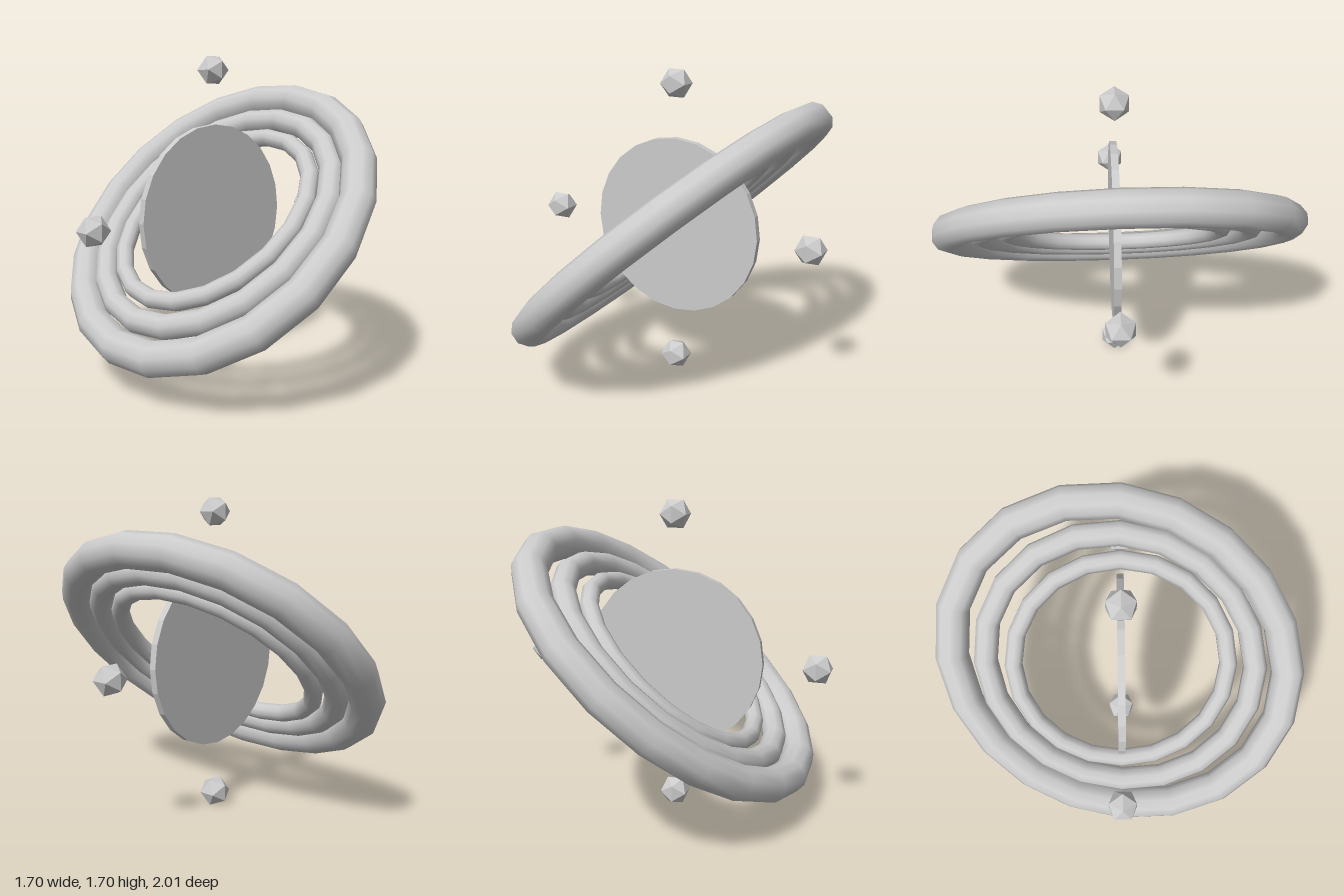
import * as THREE from 'three';

const CENTER_Y = 0.854;
const TILT = 0.75;

// Slightly oval closed loop in the XZ plane, its long axis turned towards -z
class OvalLoop extends THREE.Curve {
  constructor(long, short, turn) {
    super();
    Object.assign(this, { long, short, turn });
  }
  getPoint(t, target = new THREE.Vector3()) {
    const a = t * Math.PI * 2 + Math.PI / 2 - this.turn;
    const p = this.long * Math.cos(a), q = this.short * Math.sin(a);
    const c = Math.cos(this.turn), s = Math.sin(this.turn);
    return target.set(p * c - q * s, 0, -(p * s + q * c));
  }
}

export function createModel() {
  const model = new THREE.Group();
  const smooth = new THREE.MeshStandardMaterial({ color: 0xcccccc });
  const faceted = new THREE.MeshStandardMaterial({ color: 0xcccccc, flatShading: true });

  const add = (parent, name, geometry, material) => {
    const mesh = new THREE.Mesh(geometry, material);
    mesh.name = name;
    parent.add(mesh);
    return mesh;
  };

  // Upright disc facing the front
  const disc = add(model, 'disc', new THREE.CylinderGeometry(0.49, 0.49, 0.038, 24), faceted);
  disc.rotation.x = Math.PI / 2;
  disc.position.y = CENTER_Y;

  // Three nested rings sharing one tilted plane
  const rings = new THREE.Group();
  rings.name = 'rings';
  rings.position.y = CENTER_Y;
  rings.rotation.z = TILT;
  model.add(rings);
  const ringSpecs = [
    ['innerRing', 0.59, 0.585, 0.05],
    ['middleRing', 0.76, 0.705, 0.066],
    ['outerRing', 0.965, 0.85, 0.091],
  ];
  for (const [name, long, short, thickness] of ringSpecs) {
    const loop = new OvalLoop(long, short, 0.87);
    add(rings, name, new THREE.TubeGeometry(loop, 20, thickness, 10, true), smooth);
  }

  // Four small gems around the disc
  for (const [name, x, y] of [
    ['topGem', 0, 1], ['bottomGem', 0, -1], ['leftGem', 1, 0], ['rightGem', -1, 0],
  ]) {
    const gem = add(model, name, new THREE.IcosahedronGeometry(0.085, 0), faceted);
    gem.position.set(x * 0.777, CENTER_Y + y * 0.778, 0);
  }

  return model;
}
